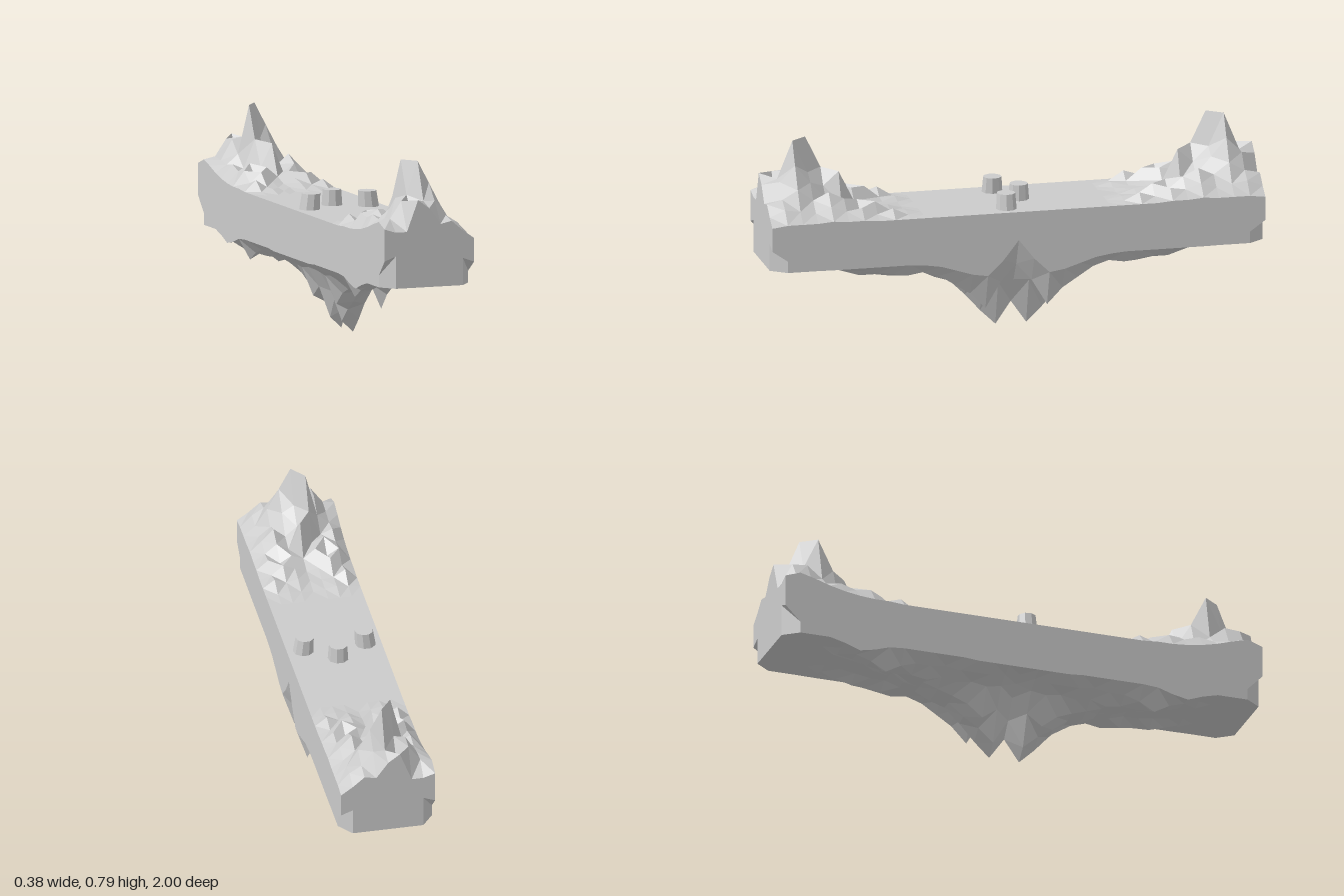
import * as THREE from 'three';

const STEP_Z = 1 / 16, HALF_X = 0.19, COLS = 8, ROWS = 16;
const FLOOR = 49.5, BASE = 30.6;

// Heights (in hundredths) across x, one row per step in z.
// Rocky end of the deck, from z = 1 inwards.
const PEAKS = [
  [54.5, 53, 53, 65.5, 62, 55.5, 56.5, 52.5, 49.2],
  [56.7, 57.7, 64.5, 57, 64, 64, 58, 55, 50],
  [55, 57, 65, 66, 79.3, 70.3, 61.5, 54, 50],
  [53, 56, 60, 79.3, 66, 63, 57, 53, 50],
  [51.5, 57, 55, 66.5, 60, 56, 60, 55, 50.5],
  [50.5, 55, 58, 56, 65.5, 54, 57, 53, 50],
  [50, 56, 53, 57, 53, 55, 52, 54, 50],
  [50, 52, 56, 52, 51, 53, 55, 51, 49.5],
  [49.5, 54, 51, 50.5, 50.5, 52, 51, 53, 49.5],
  [49.5, 50, 51, 50, 49.5, 50, 50.5, 50, 49.5],
];
// Hanging rock, from z = 0 outwards.
const ROOTS = [
  [30, 29, 27, 23, 15, 9, 19, 27, 38],
  [30, 28, 25, 17, 4.5, 0, 18.5, 20, 30],
  [30, 27, 24, 12.5, 10, 6, 20, 9.5, 24],
  [30, 27, 25, 17.5, 14, 13, 21, 16, 25],
  [30.5, 27, 24, 20, 19, 19, 24, 20, 27],
  [30.5, 28, 25, 22, 21, 21, 25, 24, 29],
  [30.5, 27, 23, 24, 24, 24, 25, 26, 30],
  [30.5, 27, 24, 23, 25, 25, 24, 25, 30.5],
  [30.5, 25, 23.5, 26, 27, 27, 24, 26, 30.5],
  [30, 21.5, 24, 26, 28, 27, 25, 27, 30.5],
  [28, 25, 25, 28, 29, 28, 25, 28, 30.5],
  [26.7, 27, 27, 29, 29, 29, 27, 29, 30.5],
  [29, 29, 28, 30, 30, 30, 29, 30, 30.5],
];

const xAt = (i) => -HALF_X + (2 * HALF_X * i) / COLS;
const top = (i, j) => [xAt(i), (PEAKS[ROWS - j]?.[i] ?? FLOOR) / 100, j * STEP_Z];
const bottom = (i, j) => [xAt(i), (ROOTS[j]?.[i] ?? BASE) / 100, j * STEP_Z];

// Collects triangles for the +z half and mirrors each one to the -z half.
function rockMesh(name, material, build) {
  const pos = [];
  const flip = ([x, y, z]) => [x, y, -z];
  const tri = (a, b, c) => pos.push(...a, ...b, ...c, ...flip(a), ...flip(c), ...flip(b));
  // Splits along the more level diagonal, which keeps ridges unbroken
  const quad = (a, b, c, d) => {
    if (Math.abs(a[1] - c[1]) <= Math.abs(b[1] - d[1])) { tri(a, b, c); tri(a, c, d); }
    else { tri(a, b, d); tri(b, c, d); }
  };
  build(tri, quad);
  const geometry = new THREE.BufferGeometry();
  geometry.setAttribute('position', new THREE.Float32BufferAttribute(pos, 3));
  geometry.computeVertexNormals();
  const mesh = new THREE.Mesh(geometry, material);
  mesh.name = name;
  return mesh;
}

export function createModel() {
  const group = new THREE.Group();
  group.name = 'floatingRockPlatform';
  const material = new THREE.MeshStandardMaterial({ color: 0xcccccc, flatShading: true });

  // Flat deck rising to a craggy peak at each end
  group.add(rockMesh('deckAndPeaks', material, (tri, quad) => {
    for (let j = 0; j < ROWS; j++)
      for (let i = 0; i < COLS; i++)
        quad(top(i, j), top(i, j + 1), top(i + 1, j + 1), top(i + 1, j));
  }));

  // Jagged underside, with the outer corners cut off
  group.add(rockMesh('underside', material, (tri, quad) => {
    for (let j = 0; j < ROWS; j++)
      for (let i = 0; i < COLS; i++) {
        const a = bottom(i, j), b = bottom(i + 1, j), c = bottom(i + 1, j + 1), d = bottom(i, j + 1);
        if (j === ROWS - 1 && i === 0) tri(a, b, c);
        else if (j === ROWS - 1 && i === COLS - 1) tri(a, b, d);
        else quad(a, b, c, d);
      }
  }));

  // Long side walls, end walls and the notched lower corners
  group.add(rockMesh('walls', material, (tri, quad) => {
    for (const side of [-1, 1]) {
      const edge = side > 0 ? COLS : 0, inner = edge - side;
      const face = (a, b, c, d) => (side > 0 ? quad(a, b, c, d) : quad(d, c, b, a));
      for (let j = 0; j < ROWS - 1; j++)
        face(bottom(edge, j), top(edge, j), top(edge, j + 1), bottom(edge, j + 1));

      const x0 = xAt(edge), x1 = xAt(inner), zIn = 1 - STEP_Z;
      const notchY = side > 0 ? 0.415 : 0.435;
      const notch = [x1, notchY, 1], lip = [x0, notchY - 0.018, 1], lipBack = [x0, 0.353, zIn];
      face(lipBack, top(edge, ROWS - 1), top(edge, ROWS), lip);
      face(notch, lip, top(edge, ROWS), top(inner, ROWS));
      if (side > 0) tri(notch, lipBack, lip); else tri(notch, lip, lipBack);
      face(bottom(inner, ROWS), bottom(edge, ROWS - 1), lipBack, notch);
    }
    for (let i = 1; i < COLS - 1; i++)
      quad(bottom(i, ROWS), bottom(i + 1, ROWS), top(i + 1, ROWS), top(i, ROWS));
  }));

  // Three stubby pegs on the deck, leaning slightly towards each other
  for (const [x, z, lean] of [[0, -0.043, 0], [-0.124, 0.036, 0.1], [0.122, 0.036, -0.1]]) {
    const geometry = new THREE.CylinderGeometry(0.037, 0.043, 0.08, 9);
    // Lean by shearing, so the ends stay level
    const p = geometry.attributes.position;
    for (let k = 0; k < p.count; k++) p.setX(k, p.getX(k) + lean * p.getY(k));
    const peg = new THREE.Mesh(geometry, material);
    peg.name = 'peg';
    peg.position.set(x, 0.518, z);
    group.add(peg);
  }
  return group;
}
